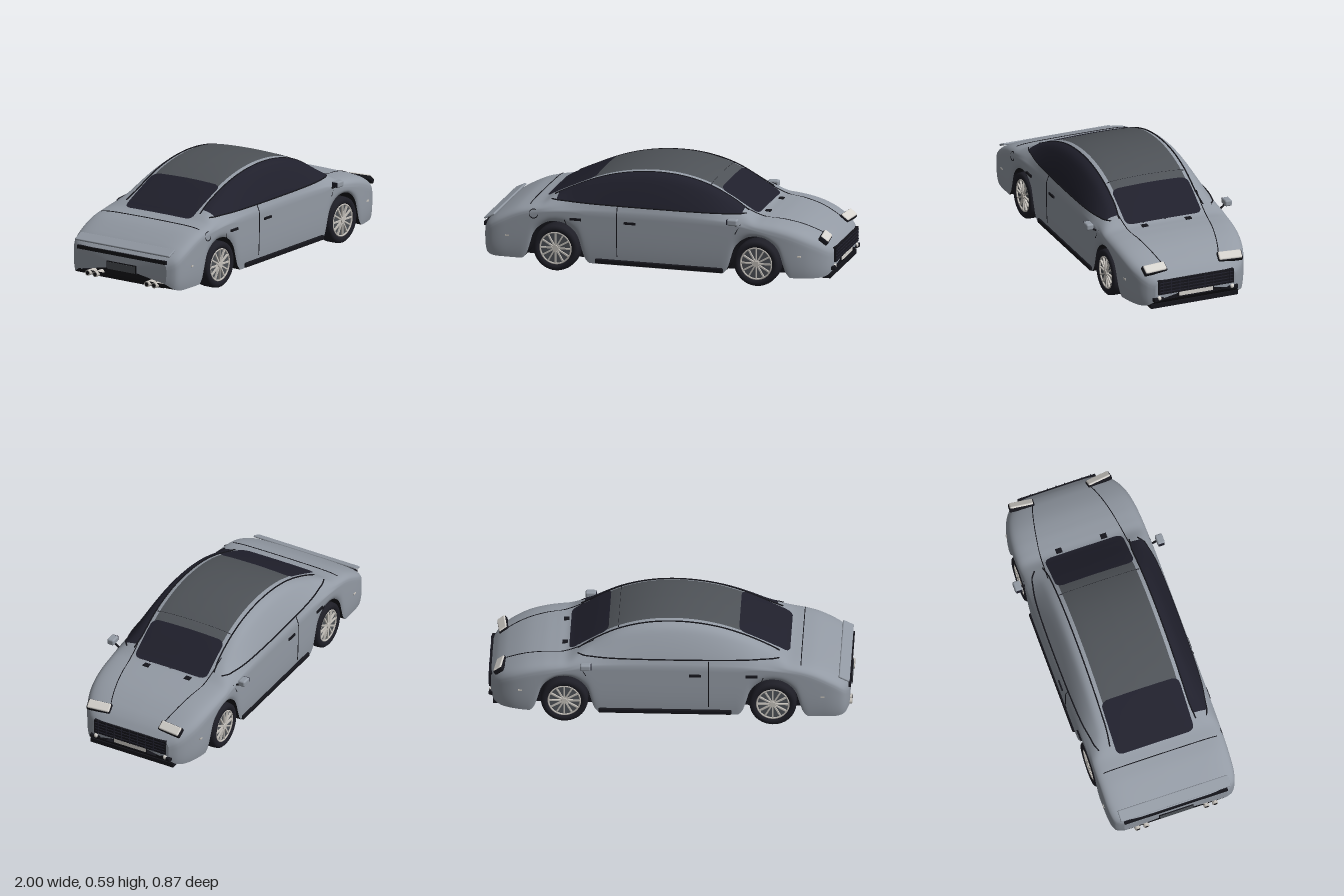
import * as THREE from 'three';
import { RoundedBoxGeometry } from 'three/addons/geometries/RoundedBoxGeometry.js';

const mat = (name, color) => new THREE.MeshStandardMaterial({ name, color, side: THREE.DoubleSide });
const M = {
  paint: mat('bodyPaint', 0x939aa4), glass: mat('darkGlass', 0x20202c), roof: mat('roofPanel', 0x4e5257),
  trim: mat('blackTrim', 0x15151b), tyre: mat('tyreRubber', 0x1e1e26), silver: mat('silver', 0xc4c0ba),
  lamp: mat('lampWhite', 0xd6d3ce),
};

// Smooth interpolation through [x, value] points
function table(pts) {
  const slope = (i) => {
    const a = pts[Math.max(0, i - 1)], b = pts[Math.min(pts.length - 1, i + 1)];
    return (b[1] - a[1]) / (b[0] - a[0]);
  };
  return (x) => {
    if (x <= pts[0][0]) return pts[0][1];
    if (x >= pts[pts.length - 1][0]) return pts[pts.length - 1][1];
    let i = 0;
    while (x > pts[i + 1][0]) i++;
    const [x0, y0] = pts[i], [x1, y1] = pts[i + 1], h = x1 - x0, t = (x - x0) / h, t2 = t * t, t3 = t2 * t;
    return (2 * t3 - 3 * t2 + 1) * y0 + (t3 - 2 * t2 + t) * h * slope(i) + (3 * t2 - 2 * t3) * y1 + (t3 - t2) * h * slope(i + 1);
  };
}

// Body rules along x: centre-line height, shoulder height, half width, lower edge
const END = 0.985, WHEELS = [-0.567, 0.578];
const topY = table([[-0.985, 0.235], [-0.95, 0.268], [-0.9, 0.302], [-0.8, 0.35], [-0.72, 0.37], [-0.65, 0.385], [-0.6, 0.412],
  [-0.5, 0.463], [-0.4, 0.51], [-0.3, 0.547], [-0.2, 0.572], [-0.1, 0.586], [0, 0.59], [0.1, 0.583], [0.2, 0.563], [0.3, 0.528],
  [0.4, 0.474], [0.5, 0.41], [0.56, 0.376], [0.62, 0.369], [0.7, 0.36], [0.8, 0.336], [0.9, 0.292], [0.95, 0.258], [0.985, 0.222]]);
const shoulderY = table([[-0.985, 0.18], [-0.9, 0.24], [-0.75, 0.31], [-0.6, 0.34], [-0.4, 0.352], [0.4, 0.352], [0.55, 0.325], [0.75, 0.28], [0.9, 0.22], [0.985, 0.17]]);
const halfW = table([[-0.985, 0.3], [-0.965, 0.34], [-0.93, 0.36], [-0.85, 0.369], [-0.5, 0.37], [0.6, 0.37], [0.75, 0.362], [0.85, 0.343], [0.92, 0.312], [0.965, 0.275], [0.985, 0.24]]);
const sillY = table([[-0.985, 0.1], [-0.965, 0.075], [-0.93, 0.062], [-0.88, 0.06], [0.88, 0.06], [0.93, 0.062], [0.965, 0.075], [0.985, 0.1]]);
const archY = table([[0, 0.285], [0.05, 0.276], [0.1, 0.243], [0.13, 0.2], [0.148, 0.14], [0.165, 0.09], [0.2, 0.055], [0.25, 0.05]]);
const bottomY = (x) => Math.max(sillY(x), ...WHEELS.map((w) => archY(Math.abs(x - w))));

// Half cross-sections above the shoulder, from centre (u=0) to shoulder (u=1)
const U = [0, 0.15, 0.3, 0.45, 0.55, 0.7, 0.85, 1];
const row = (v) => table(U.map((u, i) => [u, v[i]]));
const cabinZ = row([0, 0.25, 0.5, 0.645, 0.74, 0.83, 0.93, 1]), cabinT = row([1, 0.99, 0.965, 0.92, 0.84, 0.63, 0.3, 0]);
const hoodZ = row([0, 0.25, 0.5, 0.7, 0.83, 0.93, 0.985, 1]), hoodT = row([1, 0.99, 0.97, 0.93, 0.85, 0.68, 0.38, 0]);

const SPLIT = 0.7;
function section(x, s) {
  const a = Math.abs(s), W = halfW(x), S = shoulderY(x), T = topY(x);
  if (a > SPLIT) {
    const q = (a - SPLIT) / (1 - SPLIT);
    return new THREE.Vector3(x, S + (bottomY(x) - S) * q, Math.sign(s) * W * (1 - 0.03 * q ** 4));
  }
  const u = a / SPLIT, k = THREE.MathUtils.smoothstep(T, 0.36, 0.47);
  const z = THREE.MathUtils.lerp(hoodZ(u), cabinZ(u), k), t = THREE.MathUtils.lerp(hoodT(u), cabinT(u), k);
  return new THREE.Vector3(x, S + (T - S) * t, Math.sign(s) * W * z);
}
// Point lifted off the body surface
function lifted(x, s, off) {
  const e = 0.004, p = section(x, s);
  const n = section(x + e, s).sub(section(x - e, s)).cross(section(x, s + e).sub(section(x, s - e))).normalize();
  if (n.y * (p.y - 0.2) + n.z * p.z < 0) n.negate();
  return p.addScaledVector(n, off);
}
function solve(test) {
  let lo = 0, hi = 1;
  for (let i = 0; i < 24; i++) { const m = (lo + hi) / 2; if (test(m)) lo = m; else hi = m; }
  return lo;
}
const sAtZ = (x, z) => Math.sign(z) * solve((a) => section(x, a).z < Math.abs(z));
const sAtY = (x, y) => solve((a) => section(x, a).y > y);

function grid(nu, nv, f) {
  const pos = [], idx = [];
  for (let i = 0; i <= nu; i++) for (let j = 0; j <= nv; j++) pos.push(...f(i / nu, j / nv).toArray());
  for (let i = 0; i < nu; i++) for (let j = 0; j < nv; j++) {
    const a = i * (nv + 1) + j, b = a + nv + 1;
    idx.push(a, a + 1, b, b, a + 1, b + 1);
  }
  const g = new THREE.BufferGeometry();
  g.setAttribute('position', new THREE.Float32BufferAttribute(pos, 3));
  g.setIndex(idx);
  g.computeVertexNormals();
  return g;
}

export function createModel() {
  const car = new THREE.Group();
  car.name = 'car';
  const lerp = THREE.MathUtils.lerp;
  const add = (name, geo, m, p = [0, 0, 0], r = [0, 0, 0], parent = car) => {
    const mesh = new THREE.Mesh(geo, m);
    mesh.name = name;
    mesh.position.set(...p);
    mesh.rotation.set(...r);
    parent.add(mesh);
    return mesh;
  };
  const box = (name, size, m, p, r) => add(name, new THREE.BoxGeometry(...size), m, p, r);
  const line = (name, pts, r = 0.0025) => add(name, new THREE.TubeGeometry(new THREE.CatmullRomCurve3(pts), pts.length * 3, r, 5), M.trim);

  // Body shell, end caps and underside
  add('bodyShell', grid(200, 80, (i, j) => section(lerp(-END, END, i), lerp(-1, 1, j))), M.paint);
  for (const x of [-END, END]) add(x > 0 ? 'noseFace' : 'tailFace', grid(4, 80, (i, j) => {
    const p = section(x, lerp(-1, 1, x > 0 ? 1 - j : j));
    p.y = lerp(p.y, 0.15, i);
    p.z *= 1 - i;
    p.x += Math.sign(x) * 0.006 * i;
    return p;
  }), M.paint);
  add('underbody', grid(200, 2, (i, j) => {
    const x = lerp(-END, END, i);
    return new THREE.Vector3(x, bottomY(x), lerp(1, -1, j) * halfW(x) * 0.97);
  }), M.trim);
  box('floor', [1.86, 0.19, 0.48], M.trim, [0, 0.152, 0]);

  // Windscreen, roof panel and rear window
  const topPatch = (name, x0, x1, hw, r, m, off) => add(name, grid(40, 24, (i, j) => {
    const x = lerp(x0, x1, i), d = Math.min(r, x - x0, x1 - x);
    const w = r ? hw - r + Math.sqrt(Math.max(0, r * r - (r - d) ** 2)) : hw;
    return lifted(x, sAtZ(x, lerp(-w, w, j) || 1e-5), off);
  }), m);
  topPatch('windscreen', 0.338, 0.555, 0.226, 0.035, M.glass, 0.005);
  topPatch('roofPanel', -0.385, 0.345, 0.215, 0, M.roof, 0.003);
  topPatch('rearWindow', -0.655, -0.375, 0.225, 0.035, M.glass, 0.005);

  // Side window on one flank, frame lines on both
  const TOP = 0.45 * SPLIT, X0 = -0.6, X1 = 0.505;
  const low = (x) => Math.max(TOP + 0.002, sAtY(x, 0.395));
  add('sideWindow', grid(70, 16, (i, j) => {
    const x = lerp(X0 + 0.03, X1 - 0.02, i);
    return lifted(x, lerp(TOP, low(x), j), 0.004);
  }), M.glass);
  const surfLine = (name, pts) => line(name, pts.map(([x, s]) => lifted(x, s, 0.001)));
  for (const k of [1, -1]) {
    const xs = Array.from({ length: 31 }, (_, i) => lerp(X0, X1, i / 30));
    line('windowTopLine', xs.map((x) => lifted(x, k * TOP, 0.003)), 0.004);
    line('windowSillLine', xs.map((x) => lifted(x, k * low(x), 0.003)), 0.004);
    // Door, bonnet and pillar seams
    const ys = [0.39, 0.35, 0.3, 0.25, 0.2, 0.15, 0.11];
    surfLine('doorSeam', ys.map((y) => [-0.215, k * sAtY(-0.215, y)]));
    surfLine('frontDoorSeam', ys.slice(1, 3).map((y, i) => [0.49 - 0.03 * i, k * sAtY(0.48, y)]));
    surfLine('rearDoorSeam', ys.slice(2, 4).map((y, i) => [-0.515 + 0.01 * i, k * sAtY(-0.515, y)]));
    surfLine('bonnetSeam', [[0.42, 0.25], [0.5, 0.243], [0.6, 0.235], [0.7, 0.22], [0.8, 0.2], [0.87, 0.182], [0.92, 0.165]].map(([x, z]) => [x, k * sAtZ(x, z)]));

    // Handles, sill skirt, side markers
    for (const x of [-0.45, -0.14]) box('doorHandle', [0.065, 0.013, 0.012], M.trim, [x, 0.306, k * 0.372]);
    add('sillSkirt', new RoundedBoxGeometry(0.73, 0.028, 0.022, 2, 0.008), M.trim, [0.025, 0.077, k * 0.363]);
    for (const x of [-0.84, 0.82]) box('sideMarker', [0.022, 0.009, 0.008], M.silver, [x, 0.185, k * (halfW(x) - 0.001)]);

    // Door mirror
    add('mirrorShell', new RoundedBoxGeometry(0.06, 0.036, 0.042, 3, 0.01), M.paint, [0.46, 0.372, k * 0.414]);
    box('mirrorGlass', [0.004, 0.026, 0.034], M.glass, [0.429, 0.372, k * 0.414]);
    line('mirrorArm', [[0.355, 0.335], [0.38, 0.345], [0.4, 0.362]].map(([z, y]) => new THREE.Vector3(0.465, y, k * z)), 0.006);

    // Headlamp and fog lamp
    add('headlampSurround', new RoundedBoxGeometry(0.058, 0.028, 0.142, 2, 0.008), M.trim, [0.934, 0.269, k * 0.225], [0, k * 0.12, -0.65]);
    add('headlamp', new RoundedBoxGeometry(0.052, 0.028, 0.132, 2, 0.008), M.lamp, [0.937, 0.274, k * 0.225], [0, k * 0.12, -0.65]);
    add('fogRecess', new RoundedBoxGeometry(0.03, 0.024, 0.1, 2, 0.006), M.trim, [0.974, 0.107, k * 0.204], [0, k * 0.22, 0]);
    add('fogLamp', new THREE.SphereGeometry(0.014, 16, 10), M.lamp, [0.983, 0.112, k * 0.218]);

    // Twin exhausts
    for (const z of [0.175, 0.225]) {
      add('exhaustPipe', new THREE.CylinderGeometry(0.016, 0.016, 0.07, 16), M.silver, [-0.963, 0.085, k * z], [0, 0, Math.PI / 2]);
      add('exhaustBore', new THREE.CircleGeometry(0.011, 16), M.trim, [-0.999, 0.085, k * z], [0, -Math.PI / 2, 0]);
    }
    box('scuttleVent', [0.03, 0.006, 0.035], M.trim, [0.582, 0.372, k * 0.13]);
    surfLine('wiper', [[0.555, 0.06], [0.53, 0], [0.505, -0.1]].map(([x, z]) => [x, sAtZ(x, z + (k > 0 ? 0.07 : -0.06) || 1e-4)]));
  }
  for (const [name, x, w] of [['bootSeam', -0.72, 0.33], ['roofSeam', 0.285, 0.23]])
    surfLine(name, Array.from({ length: 21 }, (_, i) => [x, sAtZ(x, lerp(-w, w, i / 20) || 1e-4)]));
  add('fuelCap', new THREE.TorusGeometry(0.025, 0.0025, 6, 28), M.trim, [-0.69, 0.32, 0.368], [-0.15, 0, 0]);

  // Grille with slats, number plates and front lip
  box('grille', [0.022, 0.083, 0.45], M.trim, [0.984, 0.177, 0]);
  for (let i = 0; i < 4; i++) box('grilleSlat', [0.006, 0.004, 0.44], M.glass, [0.996, 0.15 + i * 0.018, 0]);
  for (let i = -4; i <= 4; i++) box('grilleBar', [0.008, 0.08, 0.004], M.glass, [0.996, 0.177, i * 0.05]);
  box('frontPlateFrame', [0.012, 0.031, 0.212], M.trim, [0.986, 0.122, 0]);
  box('frontPlate', [0.012, 0.024, 0.202], M.lamp, [0.989, 0.124, 0]);
  box('frontLip', [0.05, 0.025, 0.52], M.trim, [0.948, 0.063, 0]);

  // Tail: lip spoiler, dark light band, plate
  add('spoiler', new RoundedBoxGeometry(0.065, 0.012, 0.64, 2, 0.005), M.paint, [-0.957, 0.272, 0], [0, 0, 0.45]);
  box('tailLightBand', [0.014, 0.02, 0.6], M.trim, [-0.986, 0.222, 0]);
  box('rearPlateFrame', [0.012, 0.05, 0.2], M.trim, [-0.988, 0.15, 0]);
  box('rearPlate', [0.008, 0.04, 0.19], M.roof, [-0.992, 0.15, 0]);

  // Wheels
  const tyreShape = [[0.092, 0.046], [0.102, 0.054], [0.118, 0.053], [0.127, 0.044], [0.13, 0.025], [0.13, -0.025], [0.127, -0.044], [0.118, -0.053], [0.092, -0.05]];
  const tyre = new THREE.LatheGeometry(tyreShape.map((p) => new THREE.Vector2(...p)), 48);
  const spoke = new THREE.BoxGeometry(0.074, 0.008, 0.01);
  for (const x of WHEELS) for (const k of [1, -1]) {
    const wheel = new THREE.Group();
    wheel.name = (x > 0 ? 'front' : 'rear') + 'Wheel';
    wheel.position.set(x, 0.13, k * 0.314);
    wheel.rotation.y = k > 0 ? 0 : Math.PI;
    car.add(wheel);
    add('tyre', tyre, M.tyre, [0, 0, 0], [Math.PI / 2, 0, 0], wheel);
    add('wheelDisc', new THREE.CylinderGeometry(0.092, 0.092, 0.06, 36), M.roof, [0, 0, 0.006], [Math.PI / 2, 0, 0], wheel);
    add('rimRing', new THREE.TorusGeometry(0.088, 0.005, 8, 40), M.silver, [0, 0, 0.044], [0, 0, 0], wheel);
    add('hub', new THREE.CylinderGeometry(0.016, 0.02, 0.016, 20), M.silver, [0, 0, 0.044], [Math.PI / 2, 0, 0], wheel);
    for (let i = 0; i < 12; i++) {
      const a = (i * Math.PI) / 6;
      add('spoke', spoke, M.silver, [Math.cos(a) * 0.05, Math.sin(a) * 0.05, 0.043], [0, 0, a], wheel);
    }
  }
  return car;
}
